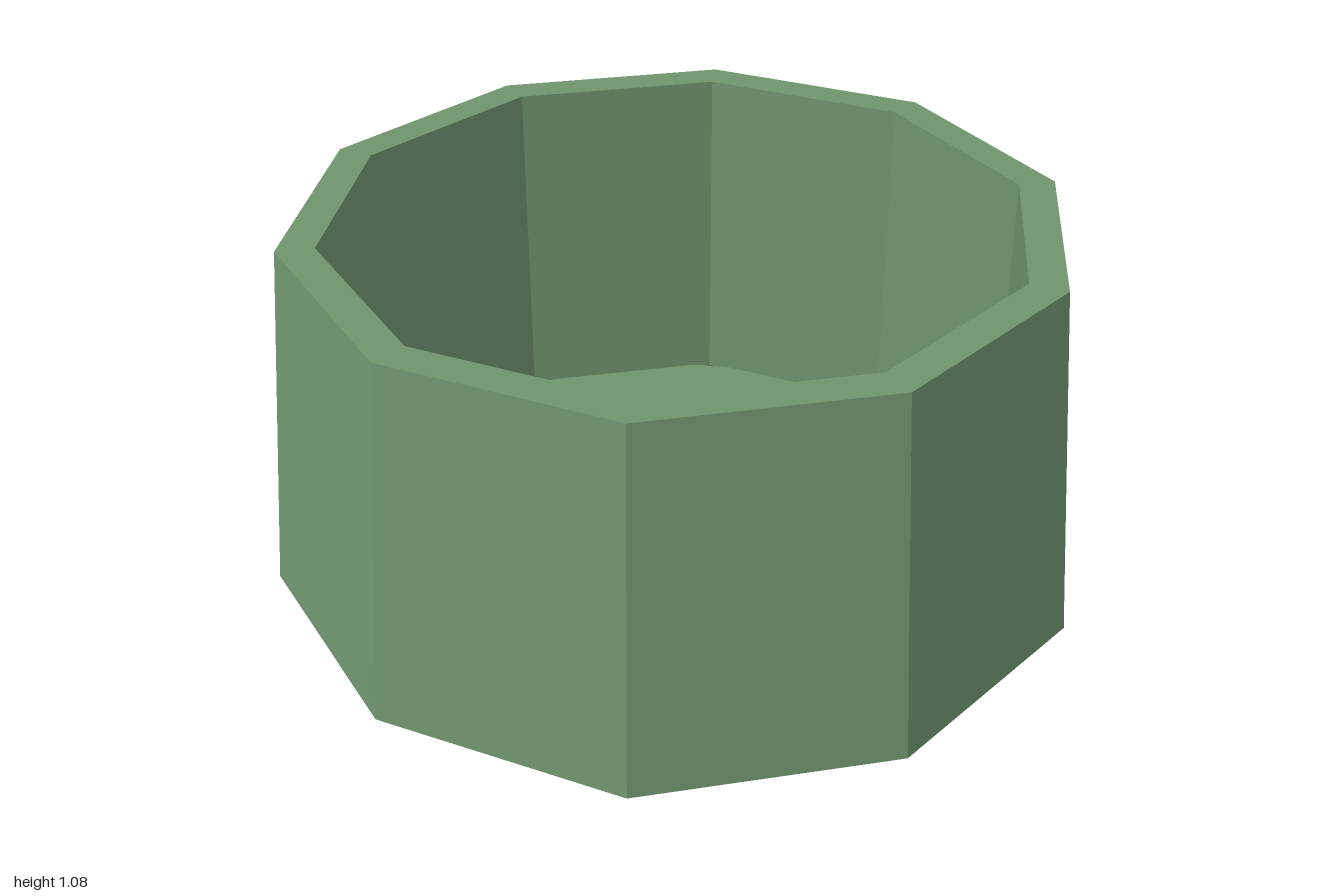
import * as THREE from 'three';

const SIDES = 10;
const START = Math.PI / 2; // puts a corner on the x axis

export function createModel() {
  const group = new THREE.Group();
  const green = new THREE.MeshStandardMaterial({ color: 0x6f946d });
  const facetedGreen = new THREE.MeshStandardMaterial({ color: 0x6f946d, flatShading: true });
  const black = new THREE.MeshStandardMaterial({ color: 0x0d0d0d });

  const add = (name, geometry, material, y = 0) => {
    const mesh = new THREE.Mesh(geometry, material);
    mesh.name = name;
    mesh.position.y = y;
    group.add(mesh);
  };

  // Faceted wall: tapered outside, flat rim, straight inside
  const profile = [[1, 0.2], [0.92, 1.08], [0.83, 1.08], [0.83, 0.2]]
    .map(([r, y]) => new THREE.Vector2(r, y));
  add('wall', new THREE.LatheGeometry(profile, SIDES, START), facetedGreen);

  // Sloped base with smooth sides, a hair above the black underside
  add('base', new THREE.CylinderGeometry(1, 0.77, 0.198, SIDES, 1, false, START), green, 0.101);

  // Round black core: shows underneath and in the corners of the floor
  add('core', new THREE.CylinderGeometry(0.86, 0.68, 0.205, 48), black, 0.1025);

  // Round floor inside the wall
  add('floor', new THREE.CircleGeometry(0.816, 48).rotateX(-Math.PI / 2), green, 0.212);

  return group;
}
